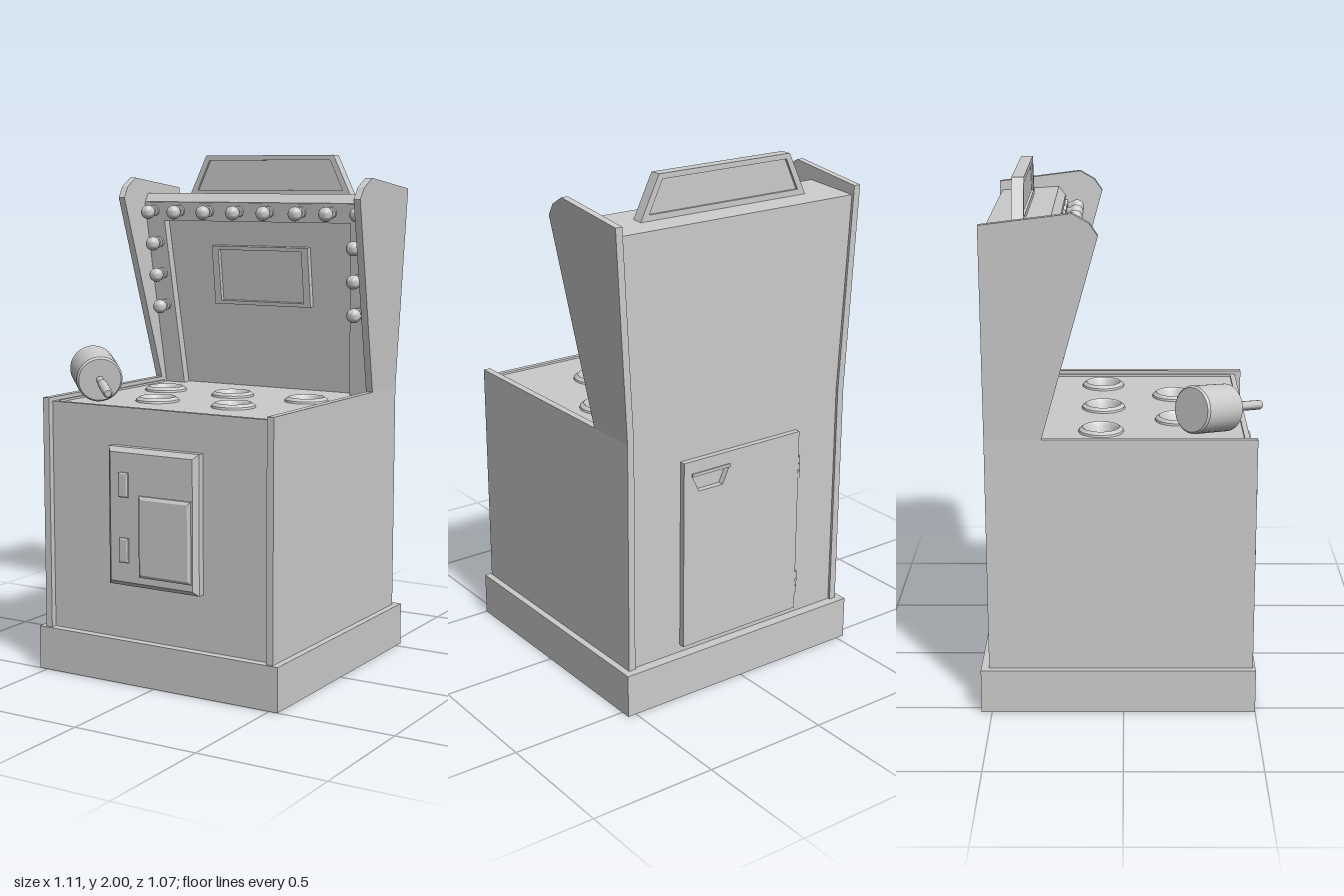
import * as THREE from 'three';
import { toCreasedNormals } from 'three/addons/utils/BufferGeometryUtils.js';

const grey = new THREE.MeshStandardMaterial({ color: 0xcccccc });

function add(parent, name, geometry, x = 0, y = 0, z = 0) {
  const mesh = new THREE.Mesh(geometry, grey);
  mesh.name = name;
  mesh.position.set(x, y, z);
  parent.add(mesh);
  return mesh;
}

const polygon = (pts) => new THREE.Shape(pts.map(([x, y]) => new THREE.Vector2(x, y)));

// Symmetric trapezoid from half widths at the bottom and the top
const trapezoid = (bottom, top, y0, y1) => polygon([[-bottom, y0], [bottom, y0], [top, y1], [-top, y1]]);

const extrude = (shape, depth) => new THREE.ExtrudeGeometry(shape, { depth, bevelEnabled: false });

// Outline given as (z, y), extruded along x and centred on x = 0
const extrudeAcross = (pts, width) =>
  extrude(polygon(pts), width).translate(0, 0, -width / 2).rotateY(-Math.PI / 2);

// Rectangular plate with a chamfered front; its straight edge starts at z = 0
function plate(w, h, depth, bevel, rise = bevel) {
  const shape = trapezoid(w / 2 - bevel, w / 2 - bevel, -h / 2 + bevel, h / 2 - bevel);
  return new THREE.ExtrudeGeometry(shape, {
    depth, bevelSize: bevel, bevelThickness: rise, bevelSegments: 1,
  });
}

// Shape with a hole cut in it
function cut(outer, ...holes) {
  outer.holes.push(...holes);
  return outer;
}

const lathe = (pts, segments) => toCreasedNormals(
  new THREE.LatheGeometry(pts.map(([r, h]) => new THREE.Vector2(r, h)), segments), 0.6);

function buildCabinet(group) {
  add(group, 'base', new THREE.BoxGeometry(1.07, 0.17, 1.04), 0, 0.085, -0.02);
  add(group, 'frontPanel', new THREE.BoxGeometry(0.97, 0.89, 0.02), 0, 0.615, 0.456);

  // Side panels, leaning outwards above the deck
  const lower = [[-0.51, 0.17], [0.49, 0.17], [0.49, 1.075], [-0.51, 1.075]];
  const upper = [[-0.51, 1.075], [-0.3, 1.075], [-0.09, 1.83], [-0.12, 1.875], [-0.18, 1.91], [-0.51, 1.868]];
  for (const side of [-1, 1]) {
    const panel = new THREE.Group();
    panel.name = side > 0 ? 'leftSide' : 'rightSide';
    for (const [name, pts] of [['lowerSide', lower], ['upperSide', upper]]) {
      const geo = extrudeAcross(pts, 0.028);
      const p = geo.attributes.position;
      for (let i = 0; i < p.count; i++) {
        p.setX(i, p.getX(i) + side * (0.495 + 0.054 * Math.max(0, p.getY(i) - 1.075)));
      }
      geo.computeVertexNormals();
      add(panel, name, geo);
    }
    group.add(panel);
  }

  // Back and sloping top
  add(group, 'lowerBack', extrude(trapezoid(0.484, 0.484, 0.17, 1.075), 0.02), 0, 0, -0.5);
  add(group, 'upperBack', extrude(trapezoid(0.484, 0.524, 1.075, 1.83), 0.02), 0, 0, -0.5);
  add(group, 'topPanel', extrudeAcross(
    [[-0.5, 1.79], [-0.247, 1.79], [-0.241, 1.812], [-0.268, 1.847], [-0.5, 1.832]], 1.045));
}

function buildDeck(group) {
  const spots = [[-0.32, -0.085], [0, -0.08], [0.33, -0.085], [-0.17, 0.205], [0.17, 0.2]];
  const holes = spots.map(([x, z]) => new THREE.Path().absarc(x, -z, 0.066, 0, Math.PI * 2, true));
  const shape = cut(trapezoid(0.484, 0.484, -0.45, 0.45), ...holes);
  add(group, 'deck', extrude(shape, 0.03).rotateX(-Math.PI / 2), 0, 1.022, 0);

  // Trim along the side edges of the deck
  for (const side of [-1, 1]) {
    add(group, 'deckTrim', new THREE.BoxGeometry(0.012, 0.03, 0.76), side * 0.48, 1.045, 0.07);
  }

  // Rimmed cups
  const cup = lathe([[0.087, -0.005], [0.084, 0.008], [0.07, 0.018], [0.064, 0.012],
    [0.058, -0.012], [0.038, -0.05], [0, -0.05]], 18);
  for (const [x, z] of spots) add(group, 'cup', cup, x, 1.052, z);
}

function buildHeadboard(group) {
  const board = new THREE.Group();
  board.name = 'headboard';
  board.position.set(0, 1.05, -0.335);
  board.rotation.x = 0.127;
  group.add(board);

  // Raised border around a recessed panel
  const border = cut(trapezoid(0.484, 0.522, -0.03, 0.765), trapezoid(0.39, 0.43, 0, 0.69));
  add(board, 'bulbBorder', extrude(border, 0.035), 0, 0, -0.035);
  add(board, 'backboard', extrude(trapezoid(0.44, 0.47, -0.03, 0.74), 0.02), 0, 0, -0.055);

  // Display with its frame
  const frame = cut(trapezoid(0.222, 0.222, -0.12, 0.12), trapezoid(0.192, 0.192, -0.105, 0.105));
  add(board, 'displayFrame', extrude(frame, 0.025), 0.007, 0.467, -0.036);
  add(board, 'display', new THREE.BoxGeometry(0.39, 0.215, 0.01), 0.007, 0.467, -0.034);

  // Bulbs along the top and down both sides
  const profile = [[0.023, -0.005], [0.023, 0.01], [0.013, 0.012]];
  for (let i = 2; i <= 10; i++) {
    const a = Math.PI * (1 - i / 10);
    profile.push([Math.max(0, 0.029 * Math.sin(a)), 0.05 - 0.029 * Math.cos(Math.PI - a)]);
  }
  const bulb = lathe(profile, 16).rotateX(Math.PI / 2);
  const spots = [-0.475, -0.35, -0.21, -0.07, 0.07, 0.215, 0.35, 0.485].map((x) => [x, 1.77]);
  [[0.463, 1.64], [0.457, 1.51], [0.451, 1.378]].forEach(([x, y]) => spots.push([-x, y], [x, y]));
  for (const [x, y] of spots) add(board, 'bulb', bulb, x, (y - 1.044) * 1.008, 0);
}

function buildSign(group) {
  const sign = new THREE.Group();
  sign.name = 'topSign';
  group.add(sign);
  const frame = cut(trapezoid(0.378, 0.295, 1.83, 2), trapezoid(0.337, 0.28, 1.86, 1.98));
  add(sign, 'signFrame', extrude(frame, 0.045), 0, 0, -0.405);
  add(sign, 'signPanel', extrude(trapezoid(0.35, 0.285, 1.845, 1.99), 0.025), 0, 0, -0.395);
}

function buildDoors(group) {
  // Coin door
  const coin = new THREE.Group();
  coin.name = 'coinDoor';
  add(coin, 'doorPlate', plate(0.4, 0.53, 0.028, 0.018), 0, 0.65, 0.466);
  add(coin, 'coinBox', plate(0.23, 0.31, 0.008, 0.012, 0.008), 0.065, 0.585, 0.512);
  for (const y of [0.775, 0.525]) {
    add(coin, 'coinSlot', plate(0.042, 0.095, 0.006, 0.006, 0.004), -0.12, y, 0.512);
  }
  group.add(coin);

  // Service door with recessed pull and hinges
  const service = new THREE.Group();
  service.name = 'serviceDoor';
  const pull = trapezoid(0.055, 0.088, 0.825, 0.895);
  pull.curves.forEach((c) => { c.v1.x += 0.145; c.v2.x += 0.145; });
  const leaf = cut(polygon([[-0.28, 0.2], [0.268, 0.2], [0.268, 0.95], [-0.28, 0.95]]), pull);
  add(service, 'serviceLeaf', extrude(leaf, 0.025), 0, 0, -0.523);
  add(service, 'pullLip', new THREE.BoxGeometry(0.175, 0.012, 0.012), 0.145, 0.895, -0.522);
  for (const y of [0.31, 0.8]) {
    for (const dy of [-0.03, 0, 0.03]) {
      add(service, 'hinge', new THREE.CylinderGeometry(0.009, 0.009, 0.027, 10), -0.287, y + dy, -0.511);
    }
  }
  group.add(service);
}

function buildMallet(group) {
  const mallet = new THREE.Group();
  mallet.name = 'mallet';
  mallet.position.set(-0.383, 1.158, 0.315);
  const axis = new THREE.Vector3(0.205, -0.043, 0.21).normalize();
  mallet.quaternion.setFromUnitVectors(new THREE.Vector3(0, 1, 0), axis);
  add(mallet, 'malletHead', lathe([[0, -0.096], [0.082, -0.096], [0.089, -0.088],
    [0.089, 0.088], [0.082, 0.096], [0, 0.096]], 28));
  add(mallet, 'malletHandle', lathe([[0, 0.09], [0.014, 0.09], [0.014, 0.15], [0.018, 0.155],
    [0.018, 0.285], [0.013, 0.293], [0, 0.293]], 14));
  group.add(mallet);
}

export function createModel() {
  const model = new THREE.Group();
  model.name = 'arcadeCabinet';
  [buildCabinet, buildDeck, buildHeadboard, buildSign, buildDoors, buildMallet].forEach((build) => build(model));
  return model;
}
